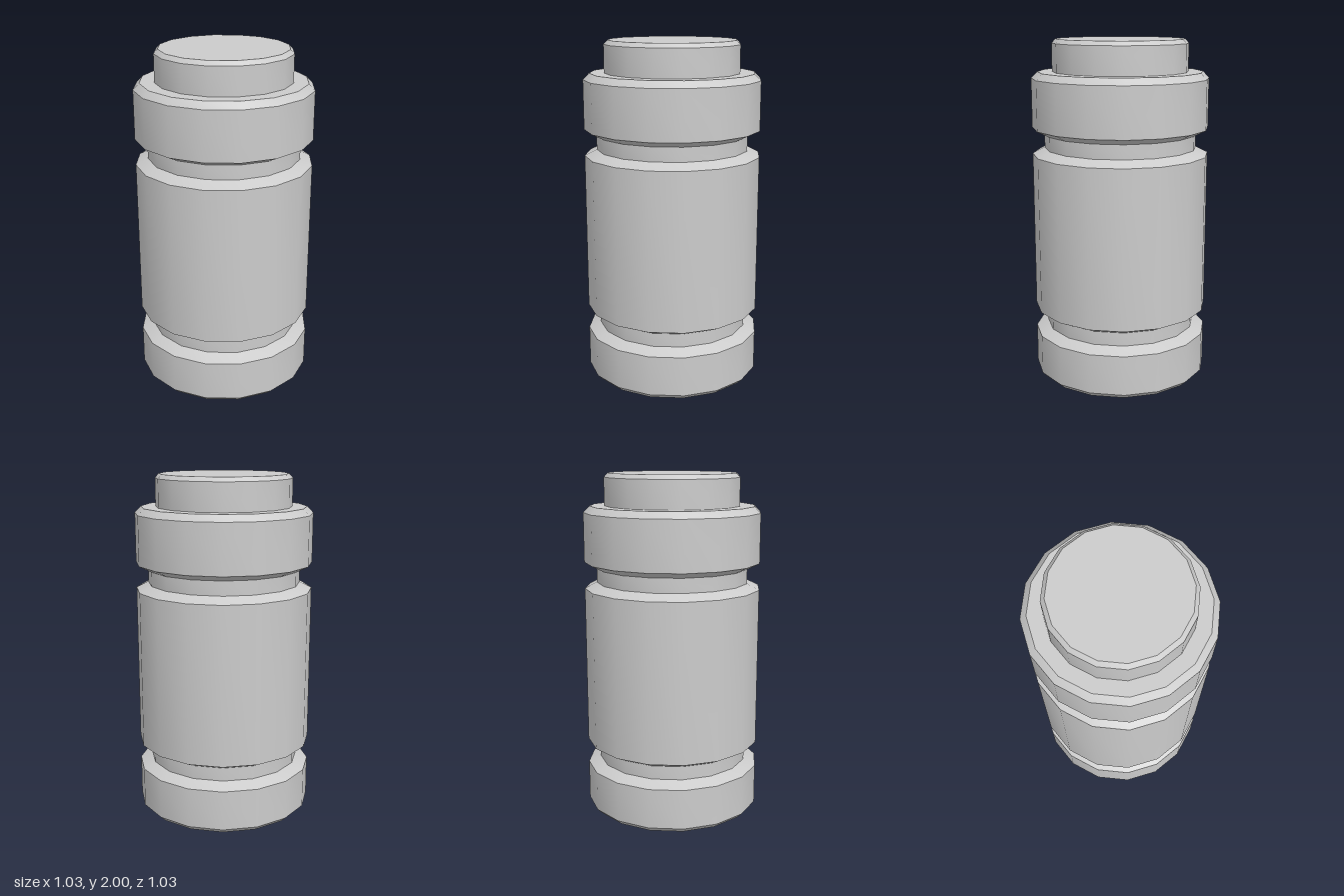
import * as THREE from 'three';
import { toCreasedNormals } from 'three/addons/utils/BufferGeometryUtils.js';

const SIDES = 16;
const R = 0.516;      // outer radius
const NECK = 0.445;   // groove radius

export function createModel() {
  const group = new THREE.Group();
  group.name = 'canister';
  const material = new THREE.MeshStandardMaterial({ color: 0xcccccc });

  // Turned ring from [radius, height] pairs, listed bottom to top
  const turn = (name, profile) => {
    const points = profile.map(([r, y]) => new THREE.Vector2(r, y));
    const geometry = toCreasedNormals(new THREE.LatheGeometry(points, SIDES), 0.45);
    const mesh = new THREE.Mesh(geometry, material);
    mesh.name = name;
    group.add(mesh);
  };

  // Foot with chamfered bottom edge and closed underside
  turn('base', [[0, 0], [0.485, 0], [R, 0.03], [R, 0.265], [NECK, 0.3]]);
  turn('lowerGroove', [[NECK, 0.3], [NECK, 0.38]]);

  // Main barrel, bevelled into both grooves
  turn('body', [[NECK, 0.38], [R, 0.415], [R, 1.34], [NECK, 1.375]]);
  turn('upperGroove', [[NECK, 1.375], [NECK, 1.458]]);

  // Upper band with its shoulder
  turn('collar', [[NECK, 1.458], [R, 1.493], [R, 1.778], [0.48, 1.815], [0.395, 1.815]]);

  // Raised plug with chamfered rim
  turn('topCap', [[0.395, 1.815], [0.395, 1.976], [0.372, 2], [0, 2]]);

  return group;
}
